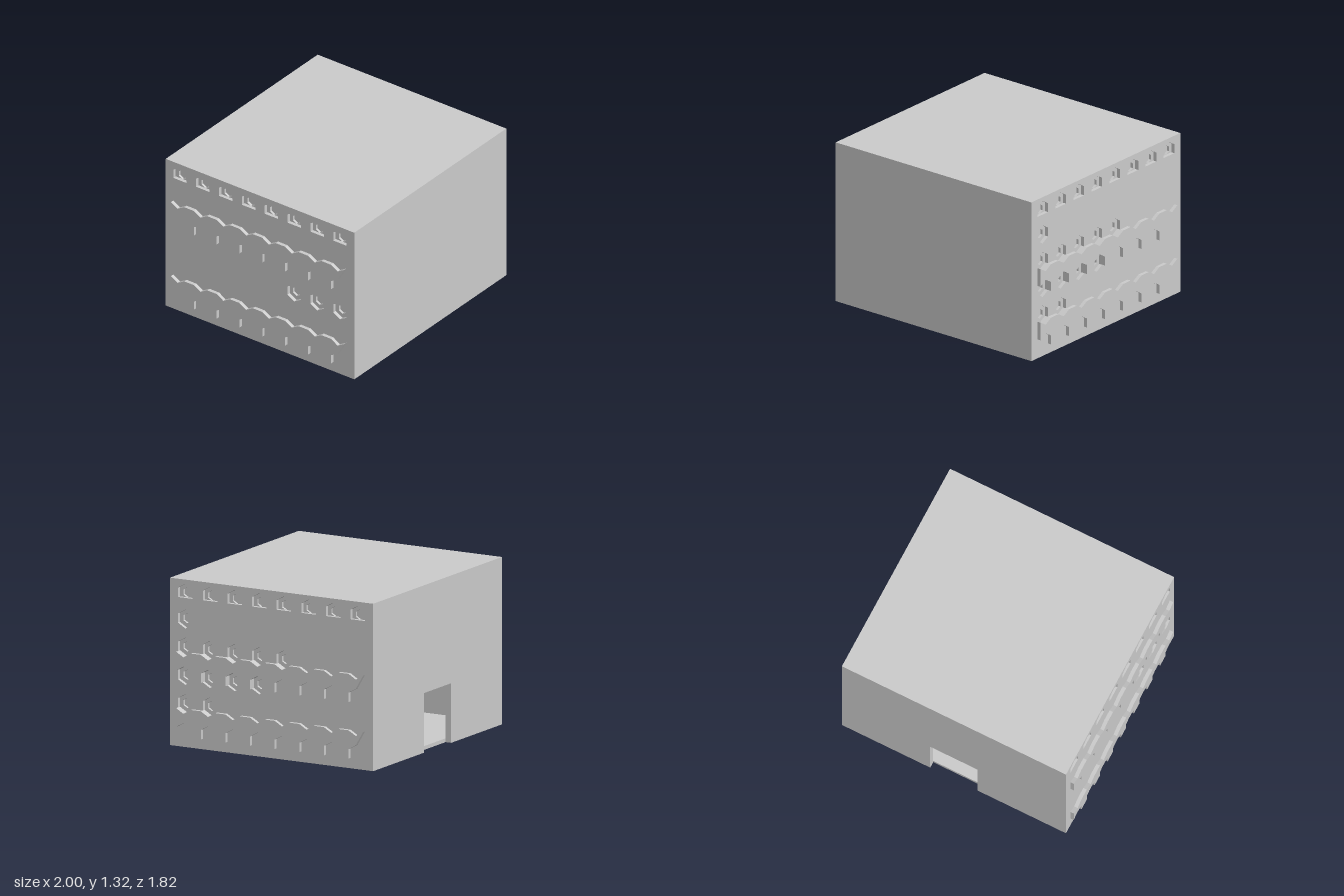
import * as THREE from 'three';

const W = 0.97, H = 1.32, D = 0.91, T = 0.03;        // half width, height, half depth, layer
const R = 0.075, S = 0.065;                           // hexagon radius and half width
const rows = [0.12, 0.3425, 0.565, 0.7875, 1.01, 1.213];
const cols = Array.from({ length: 8 }, (_, i) => 0.772 - i * 0.2206);
const grey = new THREE.MeshStandardMaterial({ color: 0xcccccc, flatShading: true });

function add(parent, name, geometry) {
  const mesh = new THREE.Mesh(geometry, grey);
  mesh.name = name;
  parent.add(mesh);
  return mesh;
}

function box(parent, name, w, h, d, x, y, z) {
  add(parent, name, new THREE.BoxGeometry(w, h, d)).position.set(x, y, z);
}

const toPoints = list => list.map(([u, y]) => new THREE.Vector2(-u, y));

// Extrudes an outline given as (u, y) towards +x, from x to x + depth
function slab(parent, name, outline, holes, x, depth) {
  const shape = new THREE.Shape(toPoints(outline));
  shape.holes = holes.map(h => new THREE.Path(toPoints(h)));
  const geometry = new THREE.ExtrudeGeometry(shape, { depth, bevelEnabled: false });
  geometry.rotateY(Math.PI / 2).translate(x, 0, 0);
  add(parent, name, geometry);
}

function hexagon(u, y, r) {
  const s = r * S / R;
  return [[u, y + r], [u - s, y + r / 2], [u - s, y - r / 2], [u, y - r], [u + s, y - r / 2], [u + s, y + r / 2]];
}

// Arched cell with a flat bottom
function arch(u, y) {
  return [[u, y + R], [u - S, y + R / 2], [u - S, y - R / 2], [u + S, y - R / 2], [u + S, y + R / 2]];
}

// Raised band between two rows of cells: toothed below, scalloped above
function band(parent, lower) {
  const a = rows[lower], b = rows[lower + 1], outline = [];
  cols.forEach((u, i) => {
    if (i > 0) outline.push([u + S, a - R / 2]);
    outline.push([u + S, a + R / 2], [u, a + R]);
    if (i < 7) outline.push([u - S, a + R / 2], [u - S, a - R / 2]);
  });
  [...cols].reverse().forEach(u => outline.push([u - S, b - R / 2], [u, b - R], [u + S, b - R / 2]));
  slab(parent, 'raisedBand', outline, [], W, T);
}

// Side wall with recessed cells, given as [row, first column, last column]
function sideWall(name, cells, bands) {
  const side = new THREE.Group();
  side.name = name;
  const rect = [[-D, 0], [-D, H], [D, H], [D, 0]];
  const outer = cols.map(u => arch(u, rows[5]));
  const inner = cols.map(u => hexagon(u, rows[5], 0.04));
  for (const [row, first, last] of cells) {
    for (let c = first; c <= last; c++) {
      outer.push(hexagon(cols[c], rows[row], R));
      inner.push(hexagon(cols[c], rows[row], 0.04));
    }
  }
  slab(side, 'wallFace', rect, outer, W - T, T);
  const lining = [[-0.86, T], [-0.86, H - T], [0.86, H - T], [0.86, T]];
  slab(side, 'cellLining', lining, inner, W - 0.05, 0.02);
  slab(side, 'wallBacking', lining, [], W - 0.06, 0.01);
  bands.forEach(b => band(side, b));
  return side;
}

export function createModel() {
  const model = new THREE.Group();
  model.name = 'building';
  const w = W - T, t = 0.05;

  box(model, 'frontWall', 2 * w, H, t, 0, H / 2, D - t / 2);
  box(model, 'roof', 2 * w, T, 2 * (D - t), 0, H - T / 2, 0);
  box(model, 'floor', 2 * w, T, 2 * (D - t), 0, T / 2, 0);

  // Back wall with a doorway open to the ground
  const back = new THREE.Shape([[-w, 0], [-0.205, 0], [-0.205, 0.47], [0.205, 0.47], [0.205, 0], [w, 0], [w, H], [-w, H]]
    .map(p => new THREE.Vector2(...p)));
  add(model, 'backWall', new THREE.ExtrudeGeometry(back, { depth: t, bevelEnabled: false })).position.z = -D;

  // Patterned sides; the right-hand one is turned half round
  model.add(sideWall('leftSide', [[4, 0, 0], [3, 0, 4], [2, 0, 3], [1, 0, 1]], [0, 2]));
  const other = sideWall('rightSide', [[2, 5, 7]], [0, 3]);
  other.rotation.y = Math.PI;
  model.add(other);
  return model;
}
